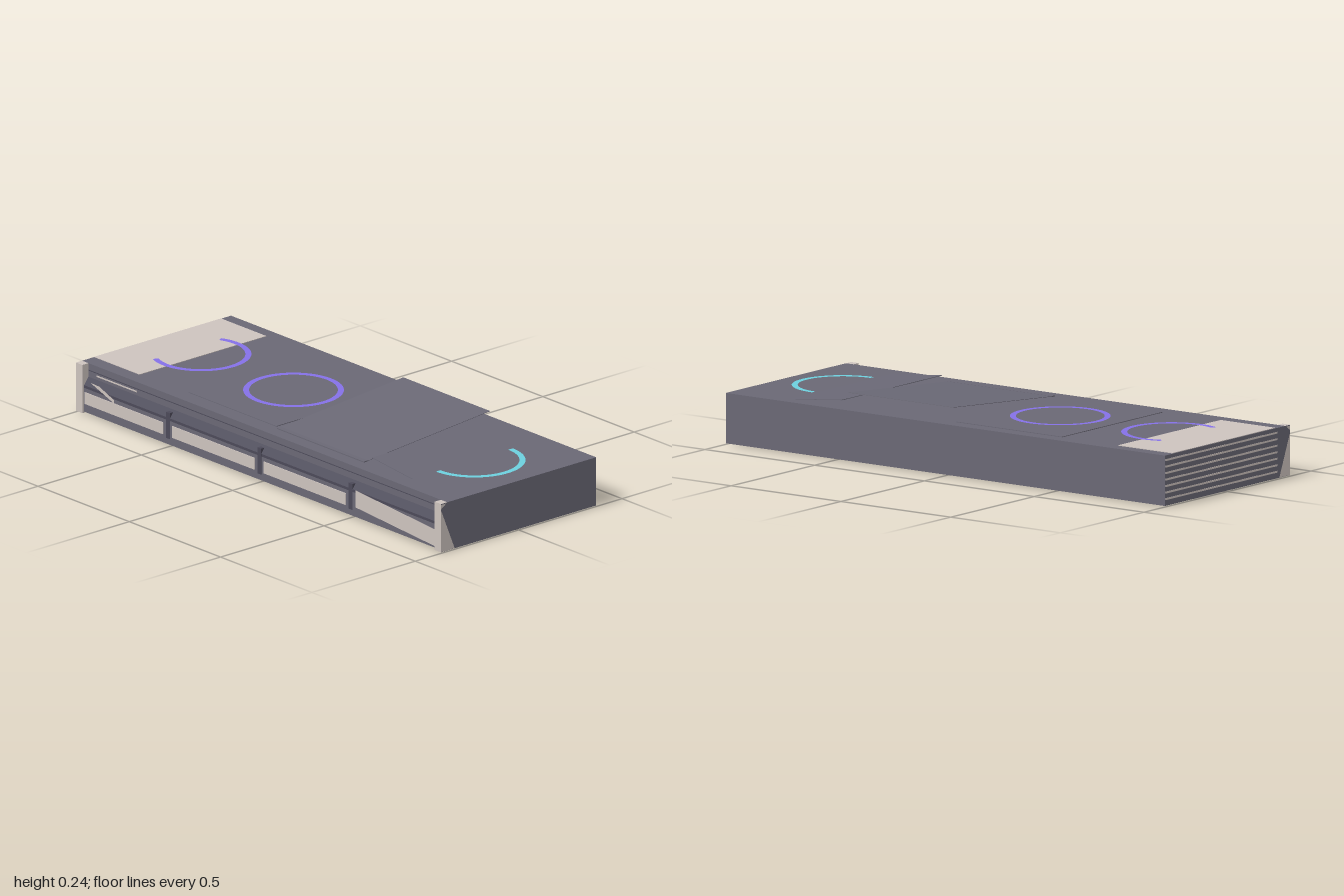
import * as THREE from 'three';

const mat = (name, color, side = THREE.FrontSide) => {
  const m = new THREE.MeshStandardMaterial({ color, side });
  m.name = name;
  return m;
};

export function createModel() {
  const model = new THREE.Group();
  model.name = 'rackUnit';
  const body = mat('slate grey', 0x6a6875);
  const dark = mat('dark slate', 0x4c4a59);
  const beige = mat('warm beige', 0xcdc3be, THREE.DoubleSide);
  const violet = mat('violet', 0x8672ea);
  const cyan = mat('cyan', 0x6cd0de);

  const add = (name, geo, m, x = 0, y = 0, z = 0) => {
    const mesh = new THREE.Mesh(geo, m);
    mesh.name = name;
    mesh.position.set(x, y, z);
    model.add(mesh);
    return mesh;
  };
  // Box given by its limits on each axis
  const box = (name, m, x0, x1, y0, y1, z0, z1) =>
    add(name, new THREE.BoxGeometry(x1 - x0, y1 - y0, z1 - z0), m,
      (x0 + x1) / 2, (y0 + y1) / 2, (z0 + z1) / 2);
  const polygon = (pts) => new THREE.ShapeGeometry(
    new THREE.Shape(pts.map(([x, y]) => new THREE.Vector2(x, y))));

  // Housing
  box('housing', body, -1, 1, 0.004, 0.19, -0.375, 0.345);
  box('lowerCatch', body, 0.01, 0.485, 0, 0.005, -0.29, -0.285);

  // Lower front frame with a sloping dark ledge
  box('frontFrame', body, -0.965, 0.965, 0.008, 0.1, 0.34, 0.366);
  const ledge = new THREE.Shape();
  ledge.moveTo(-0.34, 0.1);
  ledge.lineTo(-0.366, 0.1);
  ledge.lineTo(-0.366, 0.11);
  ledge.lineTo(-0.345, 0.138);
  ledge.lineTo(-0.34, 0.138);
  const ledgeGeo = new THREE.ExtrudeGeometry(ledge, { depth: 1.93, bevelEnabled: false });
  ledgeGeo.rotateY(Math.PI / 2);
  add('frontLedge', ledgeGeo, dark, -0.965, 0, 0);
  box('upperGroove', dark, -0.965, 0.965, 0.162, 0.165, 0.344, 0.346);

  // Bay fronts and the dividers between them
  for (const x of [-0.96, -0.48, 0.02])
    box('bayFront', beige, x, x + (x < -0.9 ? 0.43 : 0.45), 0.04, 0.085, 0.365, 0.369);
  add('tiltedBayFront',
    polygon([[0.525, 0.046], [0.962, 0.015], [0.962, 0.08], [0.525, 0.112]]), beige, 0, 0, 0.369);
  add('tiltedBayEdge',
    polygon([[-0.93, 0.13], [-0.8, 0.085], [-0.8, 0.098], [-0.88, 0.128]]), beige, 0, 0, 0.368);
  box('slotGlimpse', beige, -0.92, -0.7, 0.15, 0.155, 0.344, 0.347);
  for (const x of [-0.505, -0.005, 0.495])
    box('bayDivider', dark, x - 0.01, x + 0.01, 0.03, 0.13, 0.345, 0.367);

  // Mounting ears with grey outer sides and tapering side plates
  for (const s of [-1, 1]) {
    const faces = Array(6).fill(beige);
    faces[s > 0 ? 0 : 1] = body;
    const ear = box('mountingEar', faces, -0.0175, 0.0175, 0.004, 0.19, 0.345, 0.375);
    ear.position.x = s * 0.9825;
    for (const pts of [
      [[-0.375, 0.005], [-0.31, 0.005], [-0.371, 0.155], [-0.375, 0.162]],
      [[-0.375, 0.17], [-0.35, 0.187], [-0.375, 0.187]],
    ]) {
      const plate = add('earSidePlate', polygon(pts), beige, s * 1.0006, 0, 0);
      plate.rotation.y = Math.PI / 2;
    }
  }

  // Fine light stripes on the right side
  for (let i = 0; i < 7; i++) {
    const y = 0.025 + i * 0.024;
    box('sideStripe', beige, -1.0006, -0.999, y, y + 0.007, -0.37, 0.3);
  }

  // Flat lids
  box('beigeLid', beige, -0.998, -0.75, 0.188, 0.192, -0.325, 0.288);
  box('secondLid', body, -0.49, -0.01, 0.188, 0.1925, -0.32, 0.28);

  // Lid raised at the back
  const raised = box('raisedLid', body, 0.01, 0.485, 0.216, 0.2175, -0.317, 0.285);
  raised.rotation.x = 0.083;
  box('raisedLidLip', body, 0.01, 0.485, 0.188, 0.194, 0.275, 0.294);

  // Lid raised along its inner edge
  const sideLid = box('sideTiltedLid', body, 0.51, 0.99, 0.187, 0.189, -0.32, 0.277);
  sideLid.rotation.z = -0.1;

  // Painted rings
  const ring = (name, m, x, r, half) => {
    const mesh = add(name,
      new THREE.RingGeometry(r - 0.022, r, 64, 1, -half, half * 2), m, x, 0.1955, -0.015);
    mesh.rotation.x = -Math.PI / 2;
  };
  ring('leftRing', violet, -0.757, 0.183, 2.0);
  ring('middleRing', violet, -0.25, 0.183, Math.PI);
  ring('rightRing', cyan, 0.74, 0.186, Math.PI / 2);

  return model;
}
